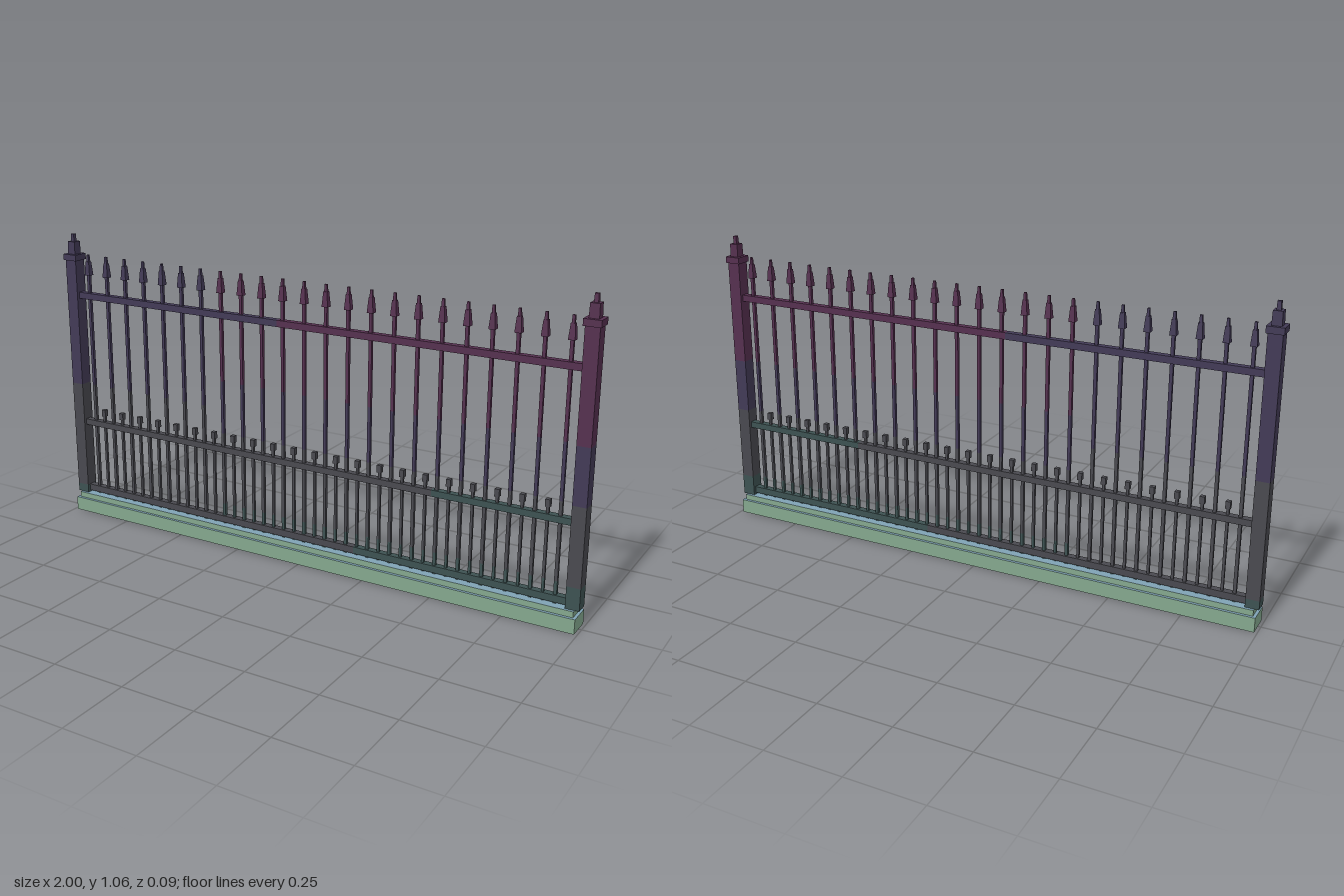
import * as THREE from 'three';

const paint = (name, color) => {
  const m = new THREE.MeshStandardMaterial({ color });
  m.name = name;
  return m;
};

export function createModel() {
  const plum = paint('plum', 0x55304f);
  const indigo = paint('indigo', 0x423a56);
  const slate = paint('slate', 0x49494f);
  const teal = paint('darkTeal', 0x3d5252);
  const green = paint('stoneGreen', 0x84a78e);
  const blue = paint('stoneBlue', 0x7fa2b4);

  const fence = new THREE.Group();
  fence.name = 'fence';

  const group = (name, parent = fence) => {
    const g = new THREE.Group();
    g.name = name;
    parent.add(g);
    return g;
  };

  // Axis-aligned box given by its x and y ranges and half depth
  const box = (name, parent, x0, x1, y0, y1, hz, material) => {
    const mesh = new THREE.Mesh(new THREE.BoxGeometry(x1 - x0, y1 - y0, hz * 2), material);
    mesh.position.set((x0 + x1) / 2, (y0 + y1) / 2, 0);
    mesh.name = name;
    parent.add(mesh);
  };

  // Square frustum, tapering from half width h0 to h1
  const taper = (name, parent, x, y0, y1, h0, h1, material) => {
    const g = new THREE.CylinderGeometry(h1 * Math.SQRT2, h0 * Math.SQRT2, y1 - y0, 4).toNonIndexed();
    g.rotateY(Math.PI / 4);
    g.computeVertexNormals();
    const mesh = new THREE.Mesh(g, material);
    mesh.position.set(x, (y0 + y1) / 2, 0);
    mesh.name = name;
    parent.add(mesh);
  };

  // Colour bands from the ground up, as [upper limit, material]
  const bandsAt = (x) => x > -0.34
    ? [[0.145, teal], [0.41, slate], [0.6, indigo], [2, plum]]
    : [[0.1, teal], [0.5, slate], [2, indigo]];

  // Upright square shaft cut into its colour bands
  const shaft = (name, parent, x, half, y0, y1) => {
    let low = y0;
    for (const [limit, material] of bandsAt(x)) {
      const high = Math.min(limit, y1);
      if (high > low) {
        box(name, parent, x - half, x + half, low, high, half, material);
        low = high;
      }
    }
  };

  // Stepped plinth with blue upper faces
  const stone = [green, green, blue, green, green, green];
  const plinth = group('plinth');
  box('plinthBase', plinth, -0.99, 0.99, 0, 0.05, 0.043, stone);
  box('plinthStep', plinth, -0.98, 0.98, 0.05, 0.07, 0.033, stone);

  // End posts with cap and finial
  for (const side of [-1, 1]) {
    const x = side * 0.972;
    const top = side > 0 ? plum : indigo;
    const post = group(side > 0 ? 'leftPost' : 'rightPost');
    shaft('postShaft', post, x, 0.023, 0.07, 0.963);
    box('postCap', post, x - 0.028, x + 0.028, 0.963, 0.985, 0.028, top);
    taper('postFinial', post, x, 0.985, 1.03, 0.016, 0.015, top);
    taper('postTip', post, x, 1.03, 1.057, 0.007, 0.006, top);
  }

  // Horizontal rails, each in two colours along its length
  const rails = [
    ['topRail', 0.824, 0.847, -0.1, indigo, plum],
    ['middleRail', 0.34, 0.362, 0.48, slate, teal],
    ['bottomRail', 0.076, 0.1, 0.2, slate, teal],
  ];
  for (const [name, y0, y1, split, a, b] of rails) {
    const rail = group(name);
    box(name + 'RightPart', rail, -0.95, split, y0, y1, 0.012, a);
    box(name + 'LeftPart', rail, split, 0.95, y0, y1, 0.012, b);
  }

  // Tall pickets with pointed heads
  const gap = 0.0826;
  for (let i = -11; i <= 11; i++) {
    const x = i * gap;
    const head = x > -0.34 ? plum : indigo;
    const picket = group('tallPicket');
    shaft('picketShaft', picket, x, 0.0055, 0.07, 0.915);
    taper('spearHead', picket, x, 0.912, 0.962, 0.011, 0.007, head);
    taper('spearTip', picket, x, 0.962, 0.986, 0.005, 0.004, head);
  }

  // Short pickets with block heads, halfway between the tall ones
  for (let i = -11; i < 11; i++) {
    const x = (i + 0.5) * gap;
    const picket = group('shortPicket');
    shaft('shortShaft', picket, x, 0.0045, 0.07, 0.385);
    box('shortHead', picket, x - 0.008, x + 0.008, 0.383, 0.408, 0.008, slate);
  }

  return fence;
}
